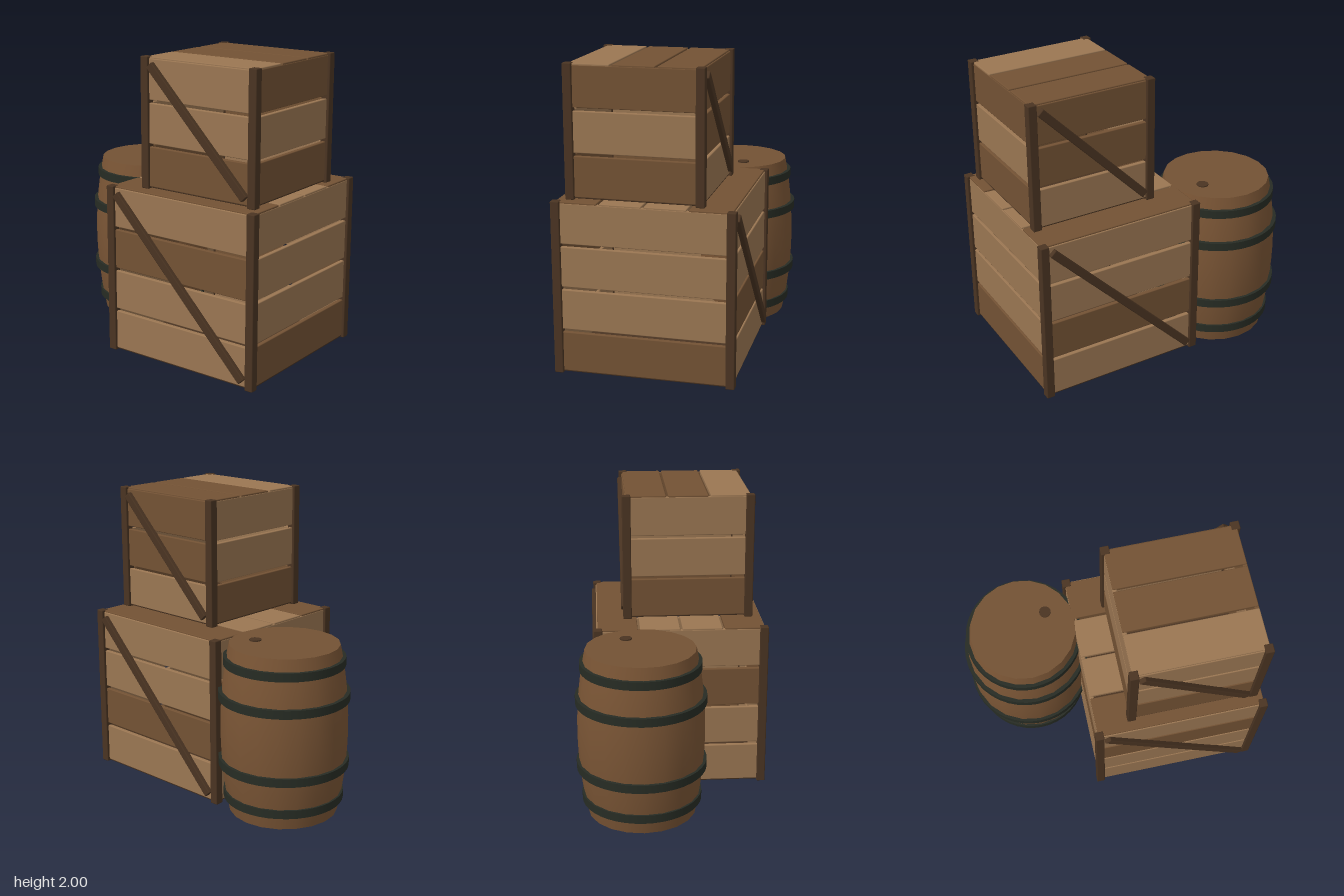
import * as THREE from 'three';
import { RoundedBoxGeometry } from 'three/addons/geometries/RoundedBoxGeometry.js';

const mat = (name, color, side = THREE.FrontSide) => {
  const m = new THREE.MeshStandardMaterial({ color, side });
  m.name = name;
  return m;
};

export function createModel() {
  const light = mat('light plank wood', 0x9a7652);
  const dark = mat('dark plank wood', 0x735234);
  const trim = mat('dark trim wood', 0x4a3422);
  const stave = mat('barrel wood', 0x7a5535);
  const iron = mat('hoop iron', 0x272c24);

  const add = (parent, name, geometry, material, x, y, z) => {
    const mesh = new THREE.Mesh(geometry, material);
    mesh.name = name;
    mesh.position.set(x, y, z);
    parent.add(mesh);
    return mesh;
  };
  // Box with slightly chamfered edges
  const board = (w, h, d) => new RoundedBoxGeometry(w, h, d, 1, 0.006);
  const wood = (letter) => (letter === 'L' ? light : dark);

  // Crate: plank tones run bottom to top, and back to front on the lid
  function makeCrate(name, w, h, d, tones, brace) {
    const crate = new THREE.Group();
    crate.name = name;
    const lip = 0.018, thick = 0.03, gap = 0.02, post = 0.058;
    const pw = w - 2 * lip, pd = d - 2 * lip;
    const rows = tones.front.length, pitch = (h - 0.006) / rows;

    // Wall planks
    for (let i = 0; i < rows; i++) {
      const y = 0.003 + pitch * (i + 0.5), ph = pitch - gap;
      const dz = (pd - thick) / 2, dx = (pw - thick) / 2;
      add(crate, 'frontPlank', board(pw, ph, thick), wood(tones.front[i]), 0, y, dz);
      add(crate, 'backPlank', board(pw, ph, thick), wood(tones.back[i]), 0, y, -dz);
      add(crate, 'leftPlank', board(thick, ph, pd), wood(tones.left[i]), dx, y, 0);
      add(crate, 'rightPlank', board(thick, ph, pd), wood(tones.right[i]), -dx, y, 0);
    }
    // Lid planks
    const lidPitch = pd / rows;
    for (let i = 0; i < rows; i++) {
      add(crate, 'lidPlank', board(pw - 0.004, thick, lidPitch - 0.015), wood(tones.lid[i]),
        0, h - thick / 2 - 0.003, -pd / 2 + lidPitch * (i + 0.5));
    }
    // Floor
    add(crate, 'floor', board(pw - 0.002, 0.03, pd - 0.002), trim, 0, 0.022, 0);
    // Corner posts
    for (const sx of [-1, 1]) for (const sz of [-1, 1]) {
      add(crate, 'cornerPost', board(post, h, post), trim, sx * (w - post) / 2, h / 2, sz * (d - post) / 2);
    }
    // Diagonal braces, front and back
    const [rise, run] = brace;
    for (const sz of [-1, 1]) {
      const b = add(crate, 'brace', board(Math.hypot(rise, run), 0.055, 0.034), trim, 0, h / 2 + 0.003, sz * (d / 2 - 0.005));
      b.rotation.z = -sz * Math.atan2(rise, run);
    }
    return crate;
  }

  // Barrel: bulging body, flat ends, four hoops and a bung
  function makeBarrel() {
    const barrel = new THREE.Group();
    barrel.name = 'barrel';
    const height = 1.14, endR = 0.36, midR = 0.42, sides = 20;
    const radiusAt = (y) => midR - (midR - endR) * Math.pow(Math.abs(2 * y / height - 1), 2);
    const profile = [];
    for (let i = 0; i <= 12; i++) {
      const y = height * i / 12;
      profile.push(new THREE.Vector2(radiusAt(y), y));
    }
    add(barrel, 'body', new THREE.LatheGeometry(profile, sides), stave, 0, 0, 0);
    const end = new THREE.CircleGeometry(endR, sides, Math.PI / 2);
    add(barrel, 'lid', end, dark, 0, height, 0).rotation.x = -Math.PI / 2;
    add(barrel, 'base', end, dark, 0, 0, 0).rotation.x = Math.PI / 2;
    for (const [y, r] of [[0.117, 0.397], [0.347, 0.43], [0.802, 0.43], [1.032, 0.397]]) {
      add(barrel, 'hoop', new THREE.CylinderGeometry(r, r, 0.056, 40), iron, 0, y, 0);
    }
    add(barrel, 'bung', new THREE.CylinderGeometry(0.04, 0.04, 0.02, 14), trim, 0.172, height - 0.002, -0.09);
    return barrel;
  }

  const model = new THREE.Group();
  model.name = 'cratesAndBarrel';

  const large = makeCrate('largeCrate', 1.17, 1.143, 1.178,
    { front: 'LLDL', back: 'LDLL', left: 'DLLL', right: 'LLDL', lid: 'DLLD' }, [1.04, 1.015]);
  large.position.set(0.375, 0, 0.057);

  const small = makeCrate('smallCrate', 0.885, 0.855, 0.89,
    { front: 'DLL', back: 'LDD', left: 'DLD', right: 'DLL', lid: 'DDL' }, [0.75, 0.735]);
  small.position.set(0.4625, 1.145, 0.118);

  const barrel = makeBarrel();
  barrel.position.set(-0.538, 0, -0.232);

  model.add(large, small, barrel);
  return model;
}
